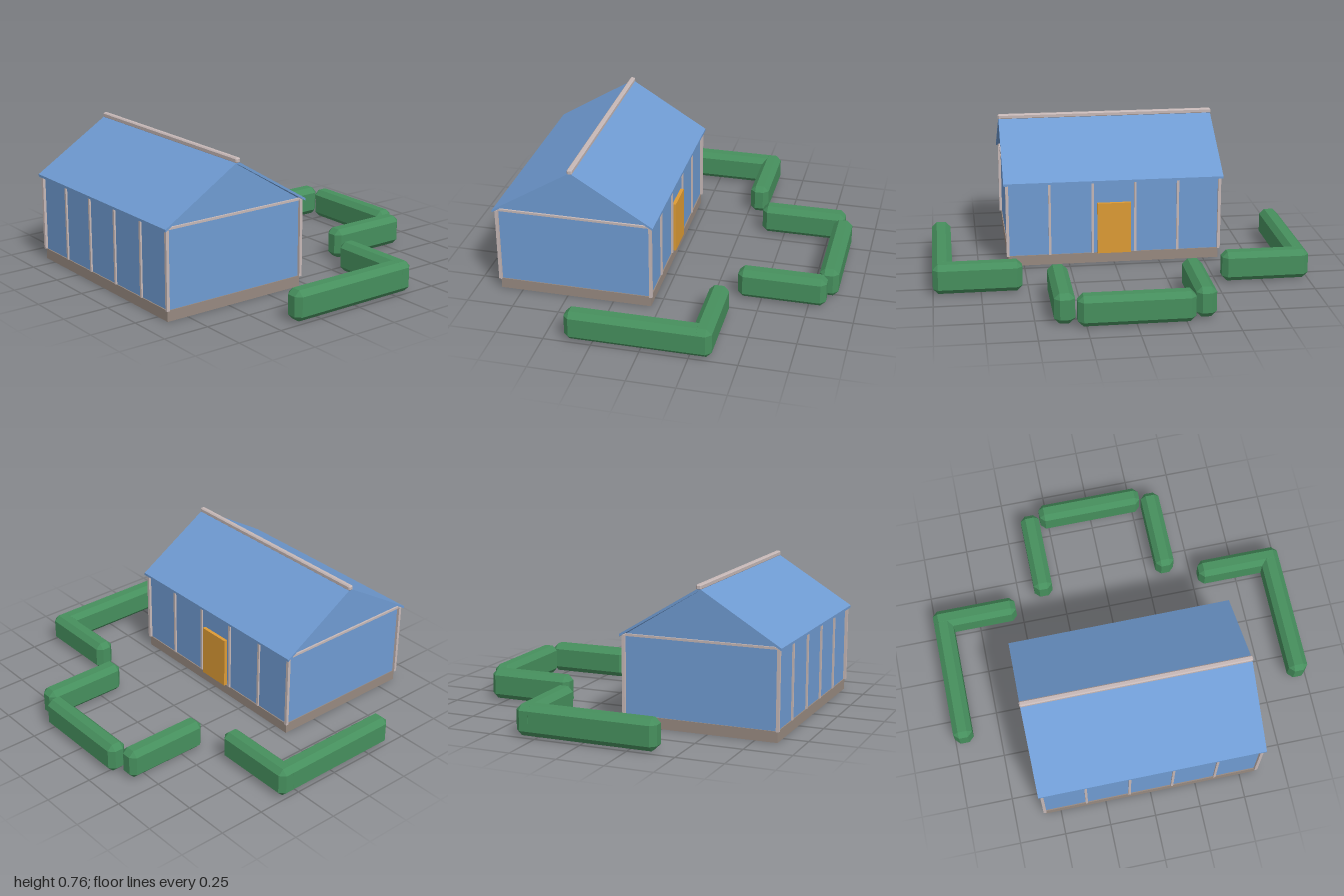
import * as THREE from 'three';
import { ConvexGeometry } from 'three/addons/geometries/ConvexGeometry.js';

const material = (name, color) => {
  const m = new THREE.MeshStandardMaterial({ color });
  m.name = name;
  return m;
};

// Box with every edge cut at 45 degrees
function chamferedBox(w, h, d, c) {
  const points = [];
  for (const x of [-1, 1]) for (const y of [-1, 1]) for (const z of [-1, 1]) {
    const a = w / 2, b = h / 2, e = d / 2;
    points.push(
      new THREE.Vector3(x * a, y * (b - c), z * (e - c)),
      new THREE.Vector3(x * (a - c), y * b, z * (e - c)),
      new THREE.Vector3(x * (a - c), y * (b - c), z * e));
  }
  return new ConvexGeometry(points);
}

// Gable profile given as [z, y] points, extruded along x
function gableExtrude(profile, length) {
  const shape = new THREE.Shape(profile.map(([z, y]) => new THREE.Vector2(-z, y)));
  return new THREE.ExtrudeGeometry(shape, { depth: length, bevelEnabled: false })
    .translate(0, 0, -length / 2)
    .rotateY(Math.PI / 2);
}

export function createModel() {
  const blue = material('blue panel', 0x6f9bd2);
  const trim = material('pale trim', 0xc6b8b7);
  const stone = material('stone base', 0x978980);
  const orange = material('orange door', 0xdd9b35);
  const green = material('hedge green', 0x468f5d);

  const model = new THREE.Group();
  const house = new THREE.Group();
  house.name = 'house';
  house.position.z = 0.457;
  model.add(house);

  const add = (parent, name, geometry, mat, x = 0, y = 0, z = 0) => {
    const mesh = new THREE.Mesh(geometry, mat);
    mesh.name = name;
    mesh.position.set(x, y, z);
    parent.add(mesh);
    return mesh;
  };
  const box = (name, w, h, d, mat, x, y, z) =>
    add(house, name, new THREE.BoxGeometry(w, h, d), mat, x, y, z);

  // Base slab and walls with gables
  box('base', 1.17, 0.057, 0.822, stone, 0, 0.0285, 0);
  add(house, 'walls', gableExtrude(
    [[-0.405, 0.057], [0.405, 0.057], [0.405, 0.475], [0, 0.727], [-0.405, 0.475]], 1.16), blue);

  // Thin folded roof and ridge cap
  add(house, 'roof', gableExtrude(
    [[-0.43, 0.464], [0, 0.726], [0.43, 0.464], [0.43, 0.477], [0, 0.741], [-0.43, 0.477]], 1.21), blue);
  add(house, 'ridgeCap', chamferedBox(1.216, 0.028, 0.028, 0.006), trim, 0, 0.745, 0);

  // Corner posts and wall battens on both long sides
  for (const side of [-1, 1]) {
    for (const end of [-1, 1])
      box('cornerPost', 0.016, 0.415, 0.016, trim, end * 0.587, 0.2645, side * 0.412);
    for (const x of [-0.355, -0.118, 0.118, 0.355])
      box('wallBatten', 0.013, 0.415, 0.013, trim, x, 0.2645, side * 0.408);
    box('gableRail', 0.012, 0.012, 0.826, trim, side * 0.584, 0.472, 0);
  }

  // Back door
  box('door', 0.185, 0.288, 0.028, orange, 0, 0.201, -0.41);

  // Hedges as [x0, x1, z0, z1]
  const hedges = new THREE.Group();
  hedges.name = 'hedges';
  model.add(hedges);
  const hedge = (x0, x1, z0, z1) => add(hedges, 'hedge',
    chamferedBox(x1 - x0, 0.16, z1 - z0, 0.028), green, (x0 + x1) / 2, 0.085, (z0 + z1) / 2);
  hedge(-0.295, 0.295, -0.89, -0.787);
  for (const s of [-1, 1]) {
    const pair = (a, b, z0, z1) => hedge(Math.min(s * a, s * b), Math.max(s * a, s * b), z0, z1);
    pair(0.303, 0.408, -0.84, -0.373);
    pair(0.532, 1, -0.363, -0.26);
    pair(0.895, 1, -0.315, 0.395);
  }
  return model;
}
